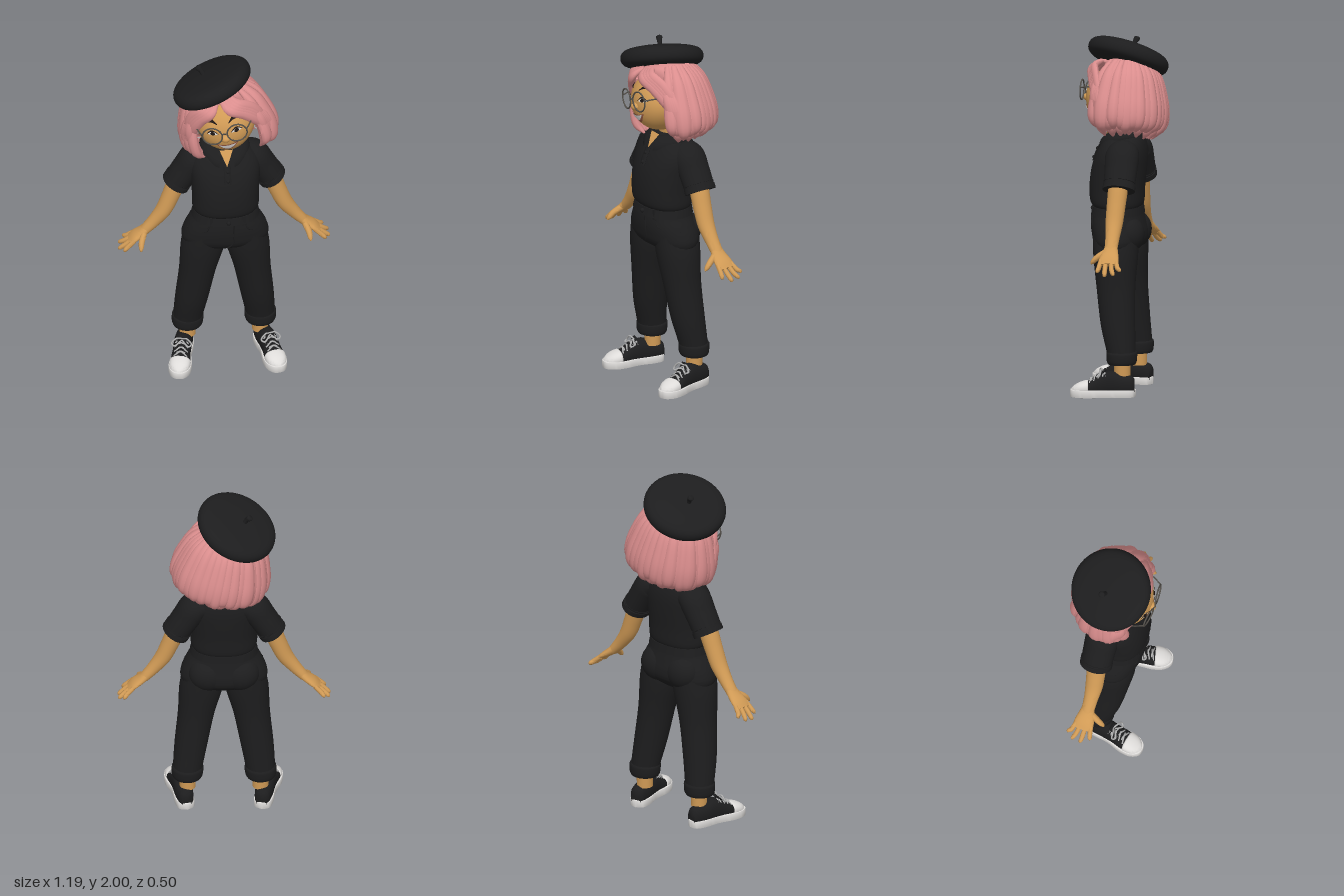
import * as THREE from 'three';
import { toCreasedNormals } from 'three/addons/utils/BufferGeometryUtils.js';
import { ParametricGeometry } from 'three/addons/geometries/ParametricGeometry.js';

const V = (x, y, z) => new THREE.Vector3(x, y, z);
const paint = (name, color) => new THREE.MeshStandardMaterial({ name, color, side: THREE.DoubleSide });
const black = paint('black cloth', 0x1d1d1e);
const skin = paint('skin', 0xd09a55);
const pink = paint('pink hair', 0xdb8e8e);
const white = paint('white rubber', 0xdedcda);
const grey = paint('grey laces', 0xb0b0b0);
const rim = paint('glasses rim', 0x54504a);
const ink = paint('dark brown', 0x1f1714);
const lip = paint('lip', 0x9a5a42);

// Closed body through sections [x, y, z, half width, half depth]
function sweep(pts, { ref = V(0, 0, 1), axis = null, n = 20, steps = 6, pow = 1 } = {}) {
  const path = new THREE.CatmullRomCurve3(pts.map(p => V(p[0], p[1], p[2])), false, 'catmullrom');
  const size = new THREE.CatmullRomCurve3(pts.map(p => V(p[3], p[4] ?? p[3], 0)), false, 'catmullrom');
  const rows = (pts.length - 1) * steps, pos = [], idx = [];
  const bend = c => Math.sign(c) * Math.abs(c) ** pow;
  for (let i = 0; i <= rows; i++) {
    const t = i / rows, c = path.getPoint(t), s = size.getPoint(t);
    const T = axis ?? path.getTangent(t);
    const B = ref.clone().addScaledVector(T, -ref.dot(T)).normalize();
    const N = B.clone().cross(T);
    for (let j = 0; j < n; j++) {
      const a = j / n * Math.PI * 2;
      const p = c.clone().addScaledVector(N, bend(Math.cos(a)) * Math.max(s.x, 0.001))
        .addScaledVector(B, bend(Math.sin(a)) * Math.max(s.y, 0.001));
      pos.push(p.x, p.y, p.z);
    }
  }
  for (let i = 0; i < rows; i++) for (let j = 0; j < n; j++) {
    const k = (j + 1) % n, a = i * n + j, b = i * n + k;
    idx.push(a, b, b + n, a, b + n, a + n);
  }
  const first = pts[0], last = pts[pts.length - 1], c0 = (rows + 1) * n;
  pos.push(first[0], first[1], first[2], last[0], last[1], last[2]);
  for (let j = 0; j < n; j++) {
    const k = (j + 1) % n;
    idx.push(c0, k, j, c0 + 1, rows * n + j, rows * n + k);
  }
  const g = new THREE.BufferGeometry();
  g.setAttribute('position', new THREE.Float32BufferAttribute(pos, 3));
  g.setIndex(idx);
  return toCreasedNormals(g, 0.9);
}
const ring = (y, rx, zf, zb) => [0, y, (zf + zb) / 2, rx, (zf - zb) / 2];
const up = V(0, 1, 0), down = V(0, -1, 0), ahead = V(0, 0, 1);
const wire = (pts, r) => new THREE.TubeGeometry(new THREE.CatmullRomCurve3(pts.map(p => V(...p))), 24, r, 6);

function add(parent, name, geo, mat, x = 0, y = 0, z = 0) {
  const m = new THREE.Mesh(geo, mat);
  m.name = name;
  m.position.set(x, y, z);
  parent.add(m);
  return m;
}
function group(parent, name, x = 0, y = 0, z = 0) {
  const g = new THREE.Group();
  g.name = name;
  g.position.set(x, y, z);
  parent.add(g);
  return g;
}

function buildTop(root) {
  add(root, 'shirt', sweep([ring(1.03, .165, .14, -.095), ring(1.065, .185, .178, -.11), ring(1.15, .187, .186, -.115),
    ring(1.25, .193, .176, -.125), ring(1.33, .198, .152, -.13), ring(1.39, .18, .122, -.125),
    ring(1.44, .125, .09, -.11), ring(1.465, .075, .06, -.085)], { axis: up, n: 36, pow: .88 }), black);
  add(root, 'neck', sweep([[0, 1.4, -.02, .075], [.005, 1.47, -.01, .06], [0, 1.58, .01, .06]]), skin);
  // Open collar, low at the front and high at the nape
  add(root, 'collar', new ParametricGeometry((u, v, p) => {
    const a = .3 + u * (Math.PI * 2 - .6), f = (1 + Math.cos(a)) / 2;
    const top = 1.505 - .05 * f, drop = .045 + .035 * f ** 4, k = Math.sin(v * Math.PI / 2);
    p.set(Math.sin(a) * (.082 + .058 * k), top - drop * v ** 1.4, -.015 + Math.cos(a) * (.09 + .062 * k));
  }, 48, 6), black);
  add(root, 'openNeck', new ParametricGeometry((u, v, p) =>
    p.set((u - .5) * .075 * v, 1.385 + .08 * v, .134 - .052 * v), 4, 4), skin);
  add(root, 'placket', sweep([[0, 1.385, .131, .02, .006], [0, 1.34, .154, .02, .006], [0, 1.29, .171, .02, .006]]), black);
  for (const [y, z] of [[1.36, .148], [1.31, .169]])
    add(root, 'button', new THREE.SphereGeometry(.01, 10, 8), black, .002, y, z);
  for (const s of [1, -1]) {
    add(root, 'sleeve', sweep([[s * .1, 1.365, -.03, .07, .08], [s * .16, 1.345, -.03, .085, .095], [s * .21, 1.275, -.033, .08, .092],
      [s * .268, 1.18, -.035, .076, .088]]), black);
    add(root, 'sleeveCuff', sweep([[s * .25, 1.21, -.035, .081, .092], [s * .271, 1.172, -.035, .081, .092]], { steps: 2 }), black);
    buildArm(root, s);
  }
}

function buildArm(root, s) {
  const arm = group(root, s > 0 ? 'leftArm' : 'rightArm');
  add(arm, 'forearm', sweep([[s * .22, 1.27, -.033, .058], [s * .265, 1.18, -.03, .053, .056], [s * .3, 1.09, -.027, .049, .053],
    [s * .338, 1, -.025, .045, .049], [s * .39, .925, -.027, .036, .04], [s * .445, .86, -.03, .027, .036]]), skin);
  add(arm, 'palm', sweep([[s * .425, .883, -.03, .027, .034], [s * .46, .85, -.03, .023, .046], [s * .5, .82, -.032, .019, .056],
    [s * .53, .795, -.034, .012, .052]]), skin);
  const fingers = [[-.074, .562, .765, -.105], [-.046, .588, .745, -.073], [-.017, .592, .738, -.026], [.011, .568, .755, .02]];
  for (const [z, x, y, tip] of fingers)
    add(arm, 'finger', sweep([[s * .505, .815, z, .013], [s * (.52 + x) / 2, (.8 + y) / 2, (z + tip) / 2, .0135],
      [s * (x - .008), y + .007, tip, .011], [s * x, y, tip, .003]], { n: 10, steps: 4 }), skin);
  add(arm, 'thumb', sweep([[s * .45, .855, -.005, .018], [s * .468, .825, .04, .017], [s * .473, .8, .065, .013],
    [s * .475, .787, .077, .004]], { n: 10, ref: V(s, 0, 0) }), skin);
}

function buildTrousers(root) {
  add(root, 'hips', sweep([ring(1.05, .172, .158, -.1), ring(1, .185, .17, -.108), ring(.95, .212, .174, -.12),
    ring(.9, .234, .17, -.13), ring(.85, .243, .158, -.125), ring(.81, .22, .125, -.095), ring(.775, .13, .06, -.05)],
  { axis: down, n: 36, pow: .92 }), black);
  add(root, 'waistband', sweep([ring(1.045, .18, .168, -.108), ring(1, .19, .177, -.114)], { axis: down, n: 36, steps: 2, pow: .9 }), black);
  add(root, 'waistButton', new THREE.SphereGeometry(.013, 12, 8), black, .005, 1.022, .174);
  add(root, 'flySeam', wire([[.035, 1, .175], [.035, .9, .172], [.022, .855, .162], [0, .83, .15]], .004), black);
  for (const s of [1, -1]) {
    add(root, 'beltLoop', new THREE.BoxGeometry(.018, .06, .014), black, s * .09, 1.02, .153);
    add(root, 'pocketSeam', wire([[s * .1, 1, .15], [s * .115, .96, .153], [s * .16, .935, .125], [s * .215, .93, .06]], .004), black);
    const seat = add(root, 'seat', new THREE.SphereGeometry(.1, 20, 14), black, s * .09, .895, -.045);
    seat.scale.set(1.1, 1.05, .92);
    add(root, 'trouserLeg', sweep([[s * .115, .9, .018, .105, .13], [s * .125, .78, .016, .122, .125], [s * .153, .6, .008, .103, .108],
      [s * .182, .4, -.01, .093, .096], [s * .201, .25, -.033, .083, .081], [s * .203, .2, -.036, .08, .078]],
    { axis: down, n: 24 }), black);
    add(root, 'trouserCuff', sweep([[s * .203, .252, -.037, .084, .082], [s * .203, .24, -.037, .089, .086], [s * .204, .2, -.037, .087, .084],
      [s * .204, .182, -.037, .08, .077]], { axis: down, n: 24, steps: 3 }), black);
    add(root, 'ankle', sweep([[s * .203, .21, -.04, .046], [s * .203, .11, -.04, .045]]), skin);
    buildShoe(root, s);
  }
}

function buildShoe(root, s) {
  const shoe = group(root, s > 0 ? 'leftShoe' : 'rightShoe', s * .245, 0, .06);
  shoe.rotation.y = s * .22;
  const outline = new THREE.Shape();
  outline.moveTo(0, -.18);
  outline.splineThru([[.04, -.16], [.05, -.1], [.046, -.02], [.06, .07], [.056, .13], [.032, .17], [0, .18], [-.032, .17],
    [-.056, .13], [-.06, .07], [-.046, -.02], [-.05, -.1], [-.04, -.16], [0, -.18]].map(p => new THREE.Vector2(...p)));
  const sole = new THREE.ExtrudeGeometry(outline, { depth: .036, bevelEnabled: true, bevelSize: .003, bevelThickness: .003, bevelSegments: 2, curveSegments: 4 });
  sole.rotateX(Math.PI / 2).translate(0, .039, 0);
  add(shoe, 'sole', toCreasedNormals(sole, .7), white);
  const body = (z, w, h) => [0, h / 2 + .005, z, w, h / 2 - .003];
  add(shoe, 'upper', sweep([body(-.174, .03, .1), body(-.155, .042, .115), body(-.1, .05, .125), body(-.04, .05, .142),
    body(.02, .05, .122), body(.08, .055, .088), body(.13, .05, .07)], { axis: ahead, ref: up, pow: .85, n: 24 }), black);
  add(shoe, 'toeCap', sweep([body(.082, .054, .086), body(.092, .06, .09), body(.13, .055, .079), body(.16, .038, .062), body(.179, .012, .044)],
    { axis: ahead, ref: up, pow: .85, n: 24 }), white);
  add(shoe, 'tongue', sweep([[0, .105, .05, .022, .008], [0, .13, .01, .025, .008], [0, .155, -.015, .026, .007]], { ref: up }), black);
  // Crossed laces and a loose bow
  for (let i = 0; i < 4; i++) for (const d of [1, -1]) {
    const z = -.005 + i * .024, y = .138 - i * .012;
    add(shoe, 'lace', wire([[-.037, y - .022, z - d * .009], [0, y + .005, z], [.037, y - .022, z + d * .009]], .0048), grey);
  }
  for (const d of [1, -1])
    add(shoe, 'bowLoop', wire([[0, .145, -.002], [d * .028, .155, .012], [d * .055, .125, .02], [d * .04, .118, .035], [0, .14, .006]], .005), grey);
}

// Depth of the face at a point of the head
const jaw = ny => 1 - .22 * Math.min(0, ny) ** 2;
const faceZ = (x, y) => .02 + .19 * Math.max(0, 1 - (y / .168) ** 2 - (x / (.168 * jaw(y / .168))) ** 2) ** .38;
// Thin plate lying on the face, between a lower and an upper edge
const facePlate = (x0, x1, low, high, lift) => new ParametricGeometry((u, v, p) => {
  const x = x0 + (x1 - x0) * u, y = low(u) + (high(u) - low(u)) * v;
  p.set(x, y, faceZ(x, y) + lift);
}, 14, 5);

function buildFace(head) {
  const g = new THREE.SphereGeometry(1, 40, 30), p = g.attributes.position;
  for (let i = 0; i < p.count; i++) {
    const x = p.getX(i), y = p.getY(i), z = p.getZ(i);
    p.setXYZ(i, x * .168 * jaw(y), y * .168, .02 + .19 * Math.sign(z) * Math.abs(z) ** .76);
  }
  add(head, 'face', toCreasedNormals(g, 1.2), skin);
  add(head, 'nose', new THREE.SphereGeometry(.026, 16, 12), skin, 0, -.008, .208).scale.set(1.1, .85, 1);
  const arc = u => Math.sin(u * Math.PI);
  add(head, 'lips', facePlate(-.062, .062, u => -.05 - .052 * arc(u), u => -.045 - .01 * arc(u), .004), lip);
  add(head, 'teeth', facePlate(-.05, .05, u => -.054 - .036 * arc(u), u => -.051 - .008 * arc(u), .008), white);
  for (const s of [1, -1]) {
    const x = s * .068;
    add(head, 'eyeWhite', facePlate(x - .03, x + .03, u => .028 - .006 * arc(u), u => .028 + .018 * arc(u), .004), white);
    add(head, 'iris', facePlate(x - .014, x + .014, u => .029 - .007 * arc(u), u => .033 + .012 * arc(u), .007), ink);
    add(head, 'lashes', facePlate(x - .034, x + .034, u => .027 + .018 * arc(u), u => .029 + .025 * arc(u), .008), ink);
    add(head, 'eyebrow', facePlate(x - .035, x + .035, u => .083 + .012 * arc(u), u => .088 + .026 * arc(u), .009), ink);
    add(head, 'ear', new THREE.SphereGeometry(.035, 14, 10), skin, s * .165, -.02, .03).scale.set(.5, 1.1, .8);
    add(head, 'earring', new THREE.TorusGeometry(.018, .004, 6, 18), grey, s * .168, -.075, .05);
    const lens = add(head, 'glassesRim', new THREE.TorusGeometry(.056, .0042, 8, 36), rim, s * .07, .03, .222);
    lens.rotation.y = s * .12;
    add(head, 'glassesTemple', wire([[s * .125, .04, .215], [s * .15, .045, .16], [s * .175, .035, .03]], .004), rim);
  }
  add(head, 'glassesBridge', wire([[-.016, .036, .228], [0, .043, .234], [.016, .036, .228]], .0042), rim);
}

function buildHair(head) {
  const hair = group(head, 'hair');
  let seed = 7;
  const rand = () => ((seed = (seed * 16807) % 2147483647) / 2147483647) - .5;
  add(hair, 'hairCap', sweep([ring(.215, .08, .06, -.1), ring(.19, .135, .11, -.16), ring(.12, .19, .1, -.205), ring(0, .222, .06, -.222),
    ring(-.09, .235, .03, -.215), ring(-.15, .2, 0, -.16)], { axis: down, n: 32 }), pink);
  // Overlapping locks around the sides and back, curling in at the hem
  const lock = (phi, len, out, w) => {
    const dir = V(Math.sin(phi), 0, -Math.cos(phi));
    const at = (f, y, a, b) => [dir.x * .258 * f * out, y, -.02 + dir.z * .218 * f * out, a * w, b];
    return sweep([at(.52, .2, .016, .012), at(.78, .12, .03, .02), at(.93, .01, .038, .024), at(.99, -.08, .042, .026),
      at(.95, -.15 * len, .034, .024), at(.78, -.195 * len, .006, .005)], { ref: dir, n: 10, steps: 4 });
  };
  const count = 27;
  for (let i = 0; i < count; i++)
    add(hair, 'lock', lock(-2.2 + 4.4 * i / (count - 1) + rand() * .05, 1 + rand() * .14, 1 + rand() * .07, 1 + rand() * .3), pink);
  for (let i = 0; i < 14; i++)
    add(hair, 'underLock', lock(-2 + 4 * i / 13 + rand() * .1, 1.1 + rand() * .12, .86, 1.1), pink);
  // Fringe parted near the middle, and strands framing the face
  for (const s of [1, -1]) {
    for (let i = 0; i < 4; i++) {
      const k = i / 3;
      add(hair, 'fringe', sweep([[s * (.015 + .05 * k), .195, .12, .02, .014], [s * (.055 + .05 * k), .155 + .01 * k, .175 - .03 * k, .03, .02],
        [s * (.125 + .04 * k), .1 + .01 * k, .152 - .035 * k, .032, .02], [s * (.178 + .025 * k), .02, .115 - .03 * k, .03, .02],
        [s * (.195 + .02 * k), -.06 - .04 * k, .095 - .03 * k, .006, .005]], { ref: V(s * .5, .2, .85), n: 10 }), pink);
      add(hair, 'frontLock', sweep([[s * .15, .12, .1 - .03 * k, .025, .02], [s * (.2 + .015 * k), .02, .105 - .03 * k, .032, .024],
        [s * (.208 + .03 * k), -.08, .09 - .03 * k, .034, .024], [s * (.19 + .03 * k), -.15, .08 - .03 * k, .024, .018],
        [s * (.165 + .03 * k), -.195 + .01 * k, .07 - .03 * k, .004, .004]], { ref: V(s * .8, 0, .6), n: 10 }), pink);
    }
  }
}

function buildBeret(root) {
  const beret = group(root, 'beret', -.072, 1.877, -.012);
  beret.rotation.set(-.24, 0, .41);
  const profile = [[0, -.05], [.15, -.055], [.19, -.054], [.222, -.035], [.232, -.005], [.222, .025], [.19, .045], [.12, .058], [.05, .063], [0, .064]];
  const curve = new THREE.SplineCurve(profile.map(p => new THREE.Vector2(...p)));
  const pts = curve.getPoints(40).map(p => new THREE.Vector2(Math.max(p.x, 0), p.y));
  add(beret, 'beretCrown', new THREE.LatheGeometry(pts, 48), black);
  add(beret, 'beretStem', sweep([[-.022, .05, -.005, .013], [-.023, .085, -.006, .013], [-.03, .112, -.01, .018], [-.032, .12, -.01, .008]], { n: 12 }), black);
}

export function createModel() {
  const root = new THREE.Group();
  root.name = 'girl in beret';
  buildTop(root);
  buildTrousers(root);
  const head = group(root, 'head', .003, 1.652, 0);
  head.rotation.set(0, -.09, .19);
  buildFace(head);
  buildHair(head);
  buildBeret(root);
  return root;
}
